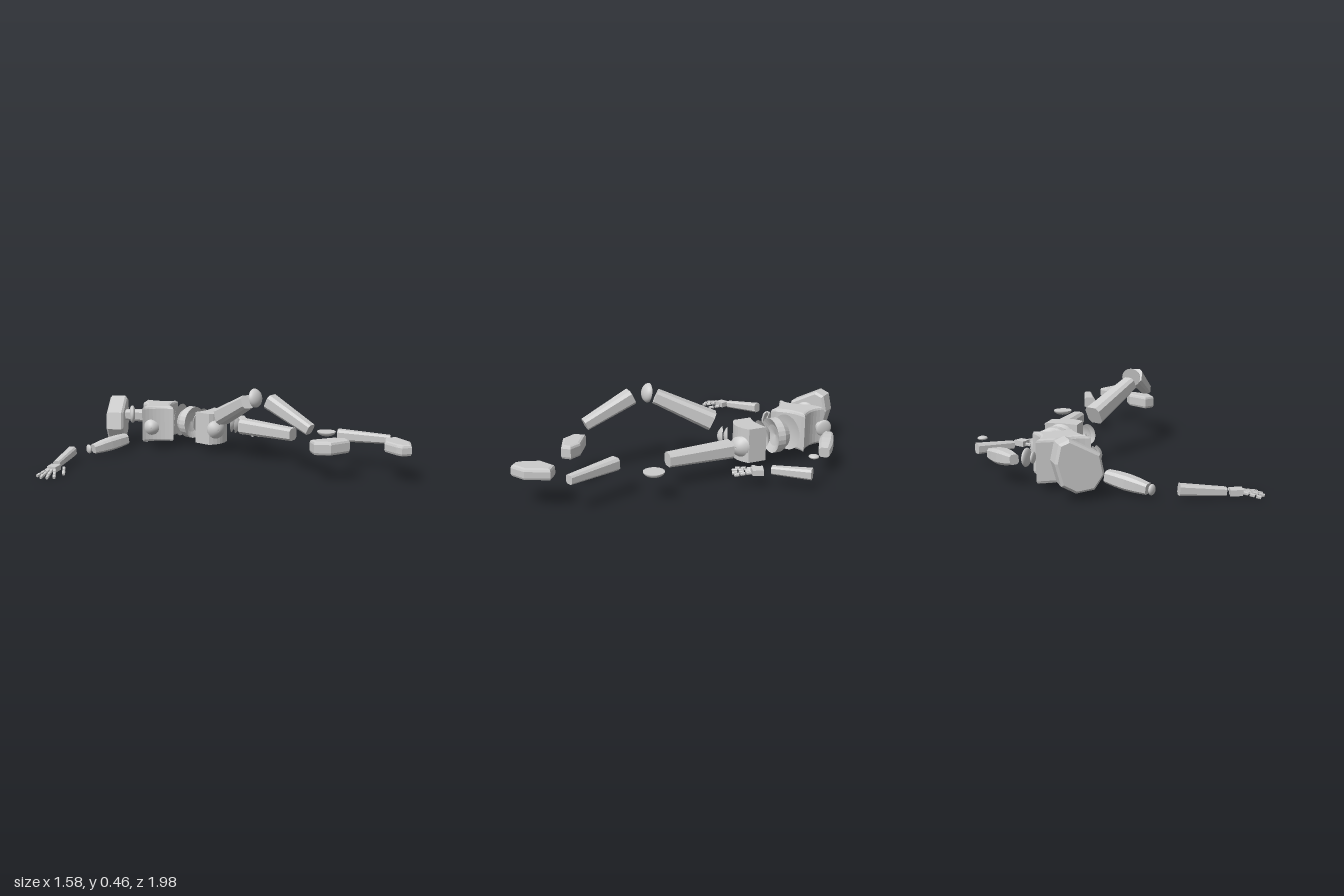
import * as THREE from 'three';

const flat = new THREE.MeshStandardMaterial({ color: 0xcccccc, flatShading: true, side: THREE.DoubleSide });
const smooth = new THREE.MeshStandardMaterial({ color: 0xcccccc, side: THREE.DoubleSide });
const V = (p) => new THREE.Vector3(...p);

export function createModel() {
  const model = new THREE.Group();

  const add = (name, geo, mat = flat) => {
    const mesh = new THREE.Mesh(geo, mat);
    mesh.name = name;
    model.add(mesh);
    return mesh;
  };

  // Turn a mesh so its local y follows axis and its local z stays near up
  const place = (mesh, pos, axis, up = [0, 1, 0]) => {
    const y = V(axis).normalize();
    let x = new THREE.Vector3().crossVectors(y, V(up));
    if (x.lengthSq() < 1e-4) x = new THREE.Vector3(1, 0, 0);
    x.normalize();
    const z = new THREE.Vector3().crossVectors(x, y);
    mesh.quaternion.setFromRotationMatrix(new THREE.Matrix4().makeBasis(x, y, z));
    mesh.position.copy(V(pos));
    return mesh;
  };

  // Tapered limb with a chamfered square section, from a to b
  const limb = (name, a, b, wa, wb, bulge = 0) => {
    const dir = V(b).sub(V(a));
    const len = dir.length();
    const geo = new THREE.CylinderGeometry(1, 1, len, 8, 4);
    geo.rotateY(Math.PI / 8);
    const p = geo.attributes.position;
    const square = (v) => (Math.abs(v) < 0.01 ? 0 : Math.sign(v) * (Math.abs(v) > 0.6 ? 1 : 0.62));
    for (let i = 0; i < p.count; i++) {
      const t = p.getY(i) / len + 0.5;
      const r = 0.5 * (wa + (wb - wa) * t) + bulge * Math.sin(Math.PI * t);
      p.setX(i, square(p.getX(i)) * r);
      p.setZ(i, square(p.getZ(i)) * r);
    }
    geo.computeVertexNormals();
    const mid = V(a).add(V(b)).multiplyScalar(0.5).toArray();
    return place(add(name, geo), mid, dir.toArray());
  };

  // Joint disc, curved on both faces or only towards its axis
  const lens = (name, pos, axis, r, thick, half = false) => {
    const geo = new THREE.SphereGeometry(r, 24, 12, 0, Math.PI * 2, 0, half ? Math.PI / 2 : Math.PI);
    geo.scale(1, thick / r, 1);
    const mesh = place(add(name, geo, smooth), pos, axis);
    if (half) {
      const cap = new THREE.Mesh(new THREE.CircleGeometry(r, 24).rotateX(Math.PI / 2), smooth);
      cap.name = name + 'Cap';
      mesh.add(cap);
    }
    return mesh;
  };

  // Curved shell bowed along its axis, crescent shaped in section
  const bowl = (name, pos, axis, r, h, t) => {
    const outer = [], inner = [];
    for (let i = 0; i <= 8; i++) {
      const s = i / 8;
      outer.push(new THREE.Vector2(r * s, h * (1 - s * s)));
      inner.unshift(new THREE.Vector2(r * s, (h - t) * (1 - s * s)));
    }
    return place(add(name, new THREE.LatheGeometry([...inner, ...outer].reverse(), 24), smooth), pos, axis);
  };

  // Horizontal slab from an outline of [x, z] or [controlX, controlZ, x, z]
  const slab = (name, outline, y0, y1, bevel = 0) => {
    const s = new THREE.Shape();
    s.moveTo(outline[0][0], -outline[0][1]);
    outline.slice(1).forEach((p) => (p.length === 2
      ? s.lineTo(p[0], -p[1])
      : s.quadraticCurveTo(p[0], -p[1], p[2], -p[3])));
    const geo = new THREE.ExtrudeGeometry(s, {
      depth: y1 - y0 - 2 * bevel, curveSegments: 8, bevelEnabled: bevel > 0,
      bevelSize: bevel, bevelThickness: bevel, bevelOffset: -bevel, bevelSegments: 2,
    });
    geo.rotateX(-Math.PI / 2).translate(0, y0 + bevel, 0);
    return add(name, geo);
  };

  // Head: faceted slab, turned aside and rolled
  const profile = [[0.05, 0.13], [0.1, 0.11], [0.12, 0.02], [0.09, -0.09],
    [0.02, -0.13], [-0.07, -0.12], [-0.12, -0.05], [-0.1, 0.05]];
  const headGeo = new THREE.ExtrudeGeometry(new THREE.Shape(profile.map((p) => new THREE.Vector2(...p))),
    { depth: 0.08, bevelEnabled: true, bevelSize: 0.012, bevelOffset: -0.012, bevelThickness: 0.012, bevelSegments: 1 });
  headGeo.translate(0, 0, -0.04);
  const head = add('head', headGeo);
  head.position.set(0.055, 0.18, -0.885);
  head.rotation.y = 0.6;

  // Neck
  limb('neck', [0.07, 0.2, -0.86], [0.17, 0.19, -0.76], 0.06, 0.075);
  lens('neckJoint', [0.115, 0.2, -0.815], [0.7, 0, 0.7], 0.055, 0.02);

  // Chest: hollowed at the neck, shoulders and waist
  slab('chest', [[0.28, -0.835], [0.265, -0.73, 0.365, -0.655], [0.24, -0.64, 0.19, -0.54],
    [0.14, -0.645, 0.055, -0.675], [0.17, -0.71, 0.19, -0.79], [0.28, -0.835]], 0.05, 0.27, 0.015);

  // Waist: shell, dome with a hollow base, shell
  bowl('upperWaistShell', [0.305, 0.165, -0.575], [-0.25, 0, -1], 0.1, 0.035, 0.022);
  const dome = [[0, 0.065], [0.035, 0.06], [0.07, 0.04], [0.097, 0], [0.097, -0.045],
    [0.06, -0.025], [0, -0.01]].map((p) => new THREE.Vector2(...p));
  place(add('abdomen', new THREE.LatheGeometry(dome.reverse(), 24)), [0.308, 0.16, -0.513], [0, 0, -1]);
  bowl('lowerWaistShell', [0.307, 0.18, -0.415], [0, 0.15, -1], 0.076, 0.042, 0.022);

  // Pelvis
  slab('pelvis', [[0.222, -0.39], [0.31, -0.355, 0.4, -0.39], [0.4, -0.285],
    [0.31, -0.215, 0.222, -0.285], [0.222, -0.39]], 0.06, 0.25);

  // Hip shells, two nested per side
  for (const s of [-1, 1]) {
    const x = 0.31 + s * 0.095, side = s > 0 ? 'left' : 'right';
    bowl(side + 'HipSocket', [x - s * 0.012, 0.165, -0.245], [s * 0.5, 0, 1], 0.05, 0.022, 0.01);
    bowl(side + 'HipShell', [x, 0.165, -0.222], [s * 0.5, 0, 1], 0.055, 0.03, 0.015);
  }

  // Legs
  limb('rightThigh', [0.2, 0.257, -0.165], [0.07, 0.395, 0.115], 0.1, 0.075);
  limb('leftThigh', [0.405, 0.162, -0.17], [0.41, 0.16, 0.195], 0.09, 0.072);
  lens('rightKnee', [0.075, 0.42, 0.16], [0, 0.2, 1], 0.053, 0.035, true);
  lens('leftKnee', [0.555, 0.172, 0.333], [0, -1, 0], 0.055, 0.028, true);
  limb('rightShin', [0.078, 0.415, 0.26], [0.078, 0.292, 0.523], 0.082, 0.06);
  limb('leftShin', [0.43, 0.195, 0.485], [0.53, 0.19, 0.76], 0.066, 0.046);

  // Feet, wedge shaped towards the toes
  slab('rightFoot', [[0.04, 0.572], [0.08, 0.52], [0.2, 0.59], [0.235, 0.655],
    [0.2, 0.695], [0.085, 0.65], [0.04, 0.572]], 0.165, 0.24, 0.015);
  slab('leftFoot', [[0.29, 0.92], [0.32, 0.835], [0.41, 0.79], [0.465, 0.83],
    [0.41, 0.945], [0.33, 0.99], [0.288, 0.955], [0.29, 0.92]], 0.168, 0.23, 0.015);

  // Shoulders
  bowl('rightShoulderSocket', [0.063, 0.16, -0.612], [-0.8, 0, 0.6], 0.04, 0.02, 0.01);
  bowl('rightShoulderShell', [0.05, 0.155, -0.592], [-0.8, 0, 0.6], 0.045, 0.025, 0.014);
  lens('leftShoulderSocket', [0.312, 0.17, -0.79], [1, 0, 0], 0.03, 0.01);
  lens('leftShoulderShell', [0.345, 0.17, -0.793], [1, 0, 0.1], 0.047, 0.015);

  // Arms
  limb('rightUpperArm', [-0.258, 0.053, -0.78], [-0.04, 0.085, -0.72], 0.052, 0.06, 0.008);
  lens('rightElbow', [-0.28, 0.055, -0.795], [1, 0, 0.3], 0.027, 0.013);
  limb('rightForearm', [-0.41, 0.067, -0.798], [-0.615, 0.045, -0.7], 0.055, 0.04);
  limb('leftUpperArm', [0.415, 0.15, -0.778], [0.598, 0.135, -0.632], 0.05, 0.055, 0.012);
  lens('leftElbow', [0.712, 0.175, -0.49], [0, 1, 0], 0.027, 0.011);
  limb('leftForearm', [0.765, 0.105, -0.45], [0.62, 0.1, -0.3], 0.056, 0.042);

  // Hands: palm, four fingers and a thumb, each finger in loose segments
  const hand = (side, palm, y0, y1, fingers) => {
    slab(side + 'Palm', [...palm, palm[0]], y0 - 0.014, y0 + 0.016);
    fingers.forEach(([ax, az, bx, bz], f) => {
      const thumb = f === 4, n = thumb ? 2 : 3;
      const a = V([ax, y0, az]), b = V([bx, y1, bz]);
      for (let i = 0; i < n; i++) {
        limb(side + (thumb ? 'Thumb' : 'Finger') + 'Segment',
          a.clone().lerp(b, i / n).toArray(), a.clone().lerp(b, (i + 0.78) / n).toArray(), 0.017, 0.014);
      }
    });
  };
  hand('right', [[-0.695, -0.688], [-0.64, -0.714], [-0.622, -0.656], [-0.68, -0.635]], 0.038, 0.017, [
    [-0.695, -0.68, -0.785, -0.675], [-0.7, -0.665, -0.795, -0.632],
    [-0.695, -0.65, -0.78, -0.598], [-0.685, -0.636, -0.75, -0.57], [-0.62, -0.635, -0.675, -0.578]]);
  hand('left', [[0.575, -0.27], [0.638, -0.243], [0.617, -0.19], [0.56, -0.207]], 0.095, 0.085, [
    [0.557, -0.215, 0.485, -0.152], [0.565, -0.205, 0.508, -0.118],
    [0.582, -0.195, 0.545, -0.1], [0.6, -0.188, 0.575, -0.098], [0.565, -0.255, 0.5, -0.248]]);

  return model;
}
